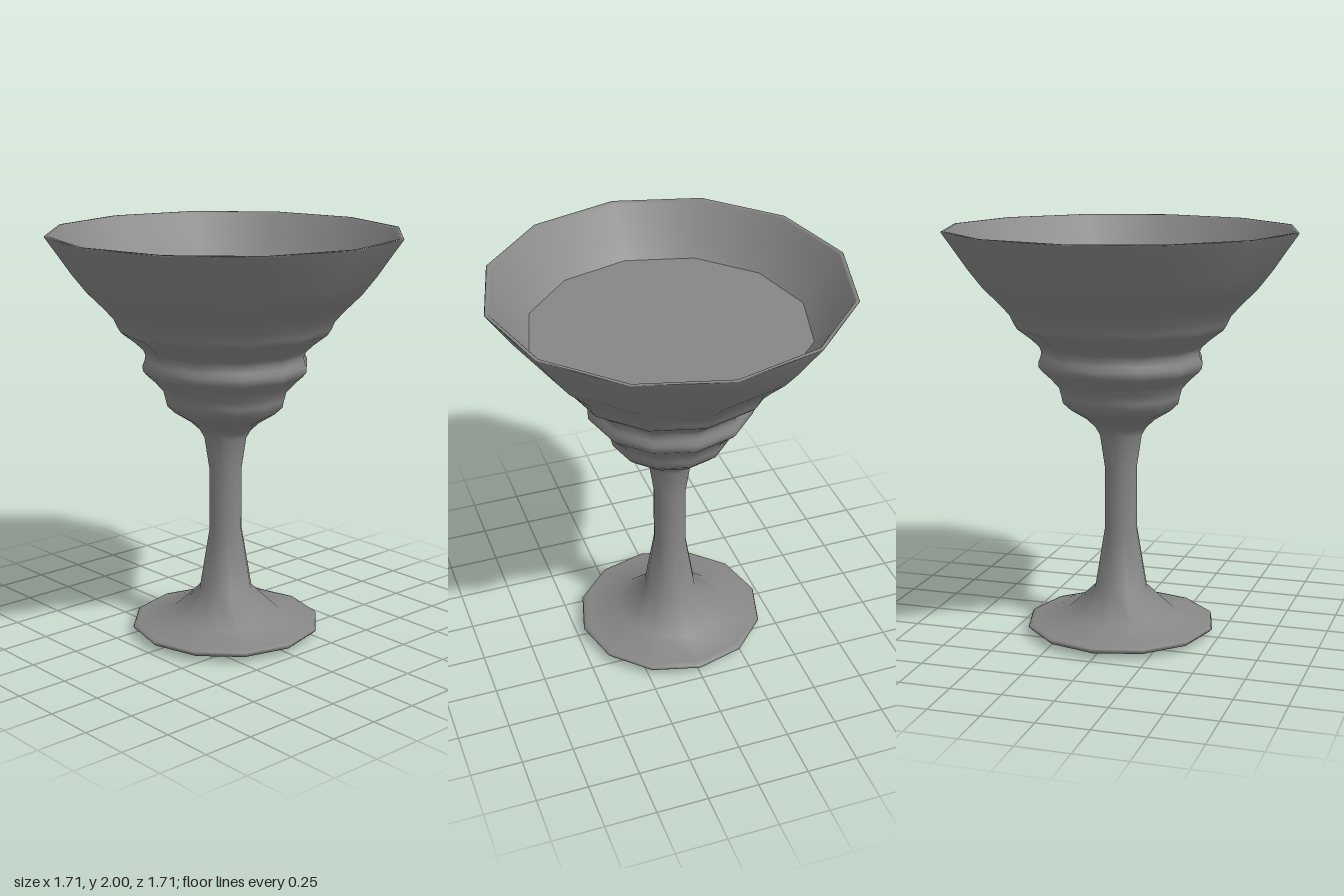
import * as THREE from 'three';

const SIDES = 12;

export function createModel() {
  const group = new THREE.Group();
  group.name = 'stemGlass';
  const material = new THREE.MeshStandardMaterial({ color: 0x868686 });

  // Each part turns a [radius, height] profile around the y axis
  const turn = (name, profile) => {
    const points = profile.map(([r, y]) => new THREE.Vector2(r, y));
    const mesh = new THREE.Mesh(new THREE.LatheGeometry(points, SIDES), material);
    mesh.name = name;
    group.add(mesh);
  };

  // One smooth skin: foot, stem, stepped bowl, thin lip and inner wall
  turn('glass', [
    // flat underside and rounded foot edge
    [0, 0.004], [0.3, 0.007], [0.4, 0.014], [0.455, 0.03], [0.469, 0.043], [0.464, 0.053],
    // flared foot rising into the stem
    [0.44, 0.06], [0.27, 0.092], [0.132, 0.225], [0.081, 0.53], [0.081, 0.84],
    // base of the bowl and lower ridge
    [0.105, 1.0], [0.128, 1.04], [0.17, 1.08], [0.25, 1.13], [0.287, 1.165], [0.295, 1.2],
    [0.305, 1.24], [0.345, 1.285],
    // middle and upper ridges
    [0.388, 1.325], [0.403, 1.345], [0.405, 1.37], [0.394, 1.395], [0.39, 1.42], [0.4, 1.445],
    [0.44, 1.482], [0.505, 1.532], [0.522, 1.56], [0.54, 1.6],
    // wide cup and lip
    [0.59, 1.655], [0.665, 1.73], [0.735, 1.82], [0.8, 1.915], [0.856, 1.995], [0.853, 2.0],
    [0.841, 2.0],
    // inner wall
    [0.834, 1.992], [0.75, 1.87], [0.666, 1.765], [0.57, 1.67], [0.4, 1.5], [0.25, 1.25], [0, 1.16],
  ]);

  // Drink surface
  turn('liquid', [[0.667, 1.765], [0, 1.765]]);

  return group;
}
